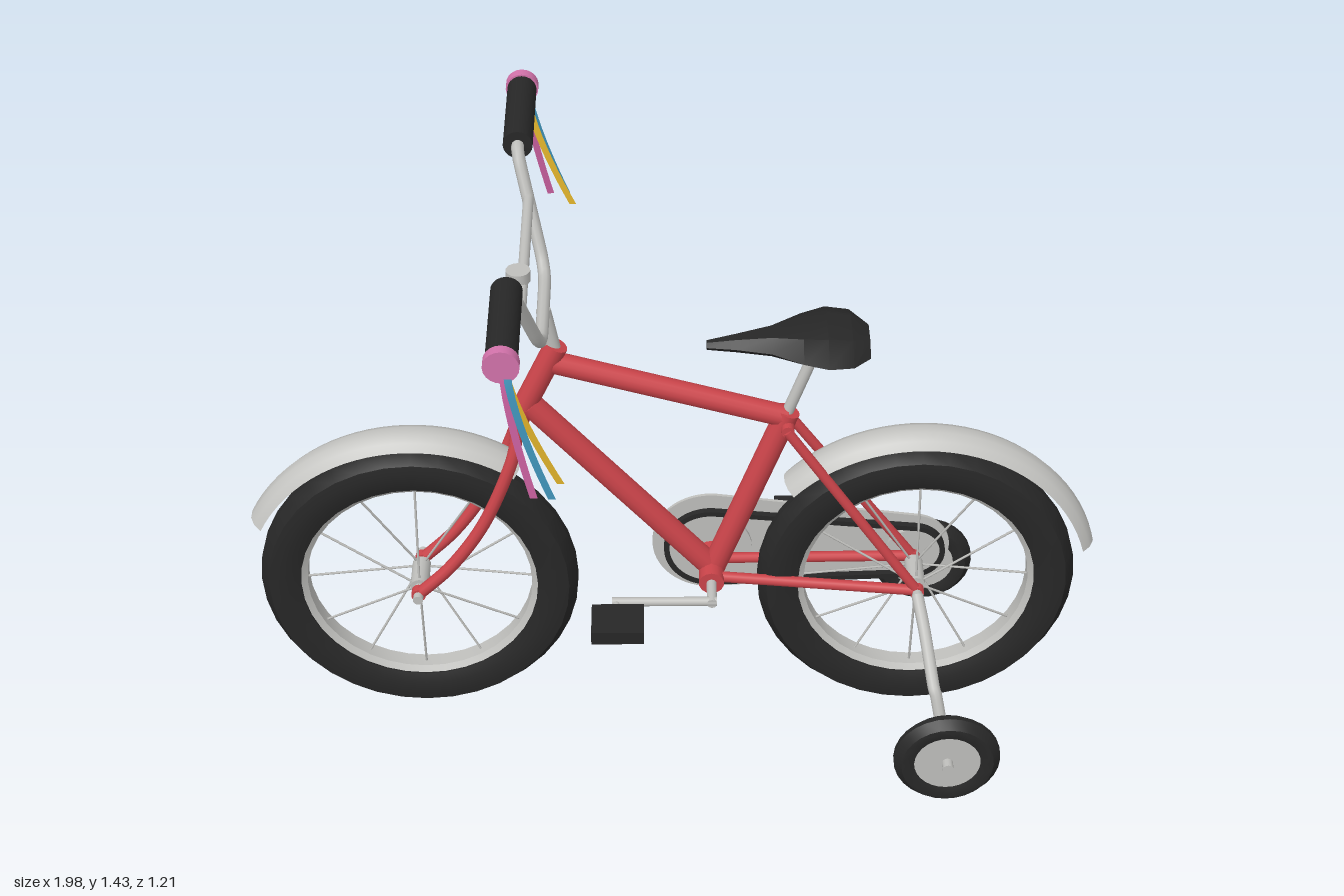
import * as THREE from 'three';
import { toCreasedNormals } from 'three/addons/utils/BufferGeometryUtils.js';

const mat = (name, color) => Object.assign(new THREE.MeshStandardMaterial({ color }), { name });
const V = (p) => new THREE.Vector3(...p);

export function createModel() {
  const red = mat('frame red', 0xcb444a);
  const black = mat('rubber black', 0x272727);
  const silver = mat('silver', 0xbfbfbc);
  const fenderSilver = mat('fender silver', 0xc4c4c1);
  fenderSilver.side = THREE.DoubleSide;
  const pink = mat('pink', 0xd373ab);
  const ribbonPink = mat('ribbon pink', 0xc9609f);
  const ribbonBlue = mat('ribbon blue', 0x3f93b8);
  const ribbonYellow = mat('ribbon yellow', 0xe3b52c);
  for (const m of [ribbonPink, ribbonBlue, ribbonYellow]) m.side = THREE.DoubleSide;

  const model = new THREE.Group();
  model.name = 'bicycle';
  const add = (name, geo, material, parent = model) => {
    const m = new THREE.Mesh(geo, material);
    m.name = name;
    parent.add(m);
    return m;
  };
  // Straight round bar between two points
  const bar = (name, a, b, r, material, parent, sides = 14) => {
    const p = V(a), d = V(b).sub(p);
    const m = add(name, new THREE.CylinderGeometry(r, r, d.length(), sides), material, parent);
    m.position.copy(p).addScaledVector(d, 0.5);
    m.quaternion.setFromUnitVectors(new THREE.Vector3(0, 1, 0), d.normalize());
    return m;
  };
  // Bent round tube through points
  const pipe = (name, pts, r, material, tension = 0.3) =>
    add(name, new THREE.TubeGeometry(new THREE.CatmullRomCurve3(pts.map(V), false, 'catmullrom', tension), 40, r, 10), material);
  // Ring turned around the z axis; profile is [radius, z], angles measured from +x
  const turned = (profile, segs, a0 = 0, a1 = Math.PI * 2) =>
    toCreasedNormals(new THREE.LatheGeometry(profile.map((p) => new THREE.Vector2(...p)), segs, a0 + Math.PI / 2, a1 - a0)
      .rotateX(Math.PI / 2), 0.6);

  // Wheels with rim, hub and crossed spokes
  const tyre = turned([[0.282, -0.034], [0.305, -0.043], [0.335, -0.045], [0.357, -0.041], [0.378, -0.01],
    [0.378, 0.01], [0.357, 0.041], [0.335, 0.045], [0.305, 0.043], [0.282, 0.034], [0.282, -0.034]], 36);
  const rim = turned([[0.268, -0.02], [0.288, -0.034], [0.288, 0.034], [0.268, 0.02], [0.268, -0.02]], 36);
  const AXLE_Y = 0.383, FRONT_X = -0.605, REAR_X = 0.578;
  for (const [name, x] of [['frontWheel', FRONT_X], ['rearWheel', REAR_X]]) {
    const wheel = new THREE.Group();
    wheel.name = name;
    wheel.position.set(x, AXLE_Y, 0);
    model.add(wheel);
    add('tyre', tyre, black, wheel);
    add('rim', rim, silver, wheel);
    bar('hub', [0, 0, -0.045], [0, 0, 0.045], 0.022, silver, wheel);
    bar('axle', [0, 0, -0.095], [0, 0, 0.095], 0.012, silver, wheel);
    for (let i = 0; i < 12; i++) {
      const a = (i / 12) * Math.PI * 2, c = Math.cos(a), s = Math.sin(a);
      bar('spoke', [c * 0.018, s * 0.018, i % 2 ? 0.035 : -0.035], [c * 0.275, s * 0.275, 0], 0.003, silver, wheel, 5);
    }
  }

  // Fenders
  const deg = Math.PI / 180;
  const fenderProfile = [[0.402, -0.05], [0.42, -0.036], [0.43, -0.014], [0.43, 0.014], [0.42, 0.036], [0.402, 0.05]];
  add('frontFender', turned(fenderProfile, 24, 54 * deg, 154 * deg), fenderSilver).position.set(FRONT_X, AXLE_Y, 0);
  add('rearFender', turned(fenderProfile, 28, 15 * deg, 138 * deg), fenderSilver).position.set(REAR_X, AXLE_Y, 0);

  // Frame
  const CRANK = [0.09, 0.405];
  bar('headTube', [-0.263, 1.05, 0], [-0.358, 0.845, 0], 0.027, red);
  bar('topTube', [-0.272, 1.003, 0], [0.258, 0.85, 0], 0.026, red);
  bar('downTube', [-0.33, 0.89, 0], [0.095, 0.405, 0], 0.029, red);
  bar('seatTube', [0.263, 0.865, 0], [0.095, 0.405, 0], 0.028, red);
  bar('bottomBracket', [...CRANK, -0.062], [...CRANK, 0.062], 0.03, red);
  bar('stayLug', [0.262, 0.835, -0.045], [0.262, 0.835, 0.045], 0.015, red);
  bar('forkCrown', [-0.357, 0.838, -0.052], [-0.357, 0.838, 0.052], 0.018, red);
  for (const s of [1, -1]) {
    bar('seatStay', [0.26, 0.835, s * 0.04], [REAR_X, 0.385, s * 0.066], 0.012, red);
    bar('chainStay', [0.1, 0.405, s * 0.035], [REAR_X, 0.385, s * 0.066], 0.013, red);
    bar('rearDropout', [REAR_X, AXLE_Y, s * 0.056], [REAR_X, AXLE_Y, s * 0.076], 0.017, red);
    pipe('forkLeg', [[-0.355, 0.845, s * 0.042], [-0.375, 0.755, s * 0.06], [-0.44, 0.595, s * 0.066],
      [-0.52, 0.47, s * 0.067], [FRONT_X, 0.38, s * 0.067]], 0.015, red, 0.5);
    bar('forkTip', [FRONT_X, AXLE_Y, s * 0.056], [FRONT_X, AXLE_Y, s * 0.078], 0.017, red);
  }

  // Seat post and saddle built from six-sided cross-sections [x, half width, top height]
  bar('seatPost', [0.25, 0.83, 0], [0.327, 1.05, 0], 0.0135, silver);
  const sections = [[0.075, 0.012, 1.058], [0.14, 0.028, 1.07], [0.22, 0.055, 1.084], [0.29, 0.103, 1.094],
    [0.345, 0.127, 1.1], [0.4, 0.118, 1.096], [0.44, 0.07, 1.08]];
  const pos = [], idx = [];
  sections.forEach(([x, w, top], i) => {
    const mid = 1.04 + (top - 1.04) * 0.45;
    pos.push(x, 1.04, -w * 0.6, x, mid, -w, x, top, -w * 0.45, x, top, w * 0.45, x, mid, w, x, 1.04, w * 0.6);
    for (let k = 0; i > 0 && k < 6; k++) {
      const a = (i - 1) * 6 + k, b = (i - 1) * 6 + ((k + 1) % 6);
      idx.push(a, b, a + 6, b, b + 6, a + 6);
    }
  });
  const last = (sections.length - 1) * 6;
  for (let k = 1; k < 5; k++) idx.push(0, k + 1, k, last, last + k, last + k + 1);
  const saddle = new THREE.BufferGeometry();
  saddle.setAttribute('position', new THREE.Float32BufferAttribute(pos, 3));
  saddle.setIndex(idx);
  add('saddle', toCreasedNormals(saddle, 0.5), black);

  // Handlebar, crossbar and bell
  bar('stem', [-0.268, 1.03, 0], [-0.29, 1.145, 0], 0.017, silver);
  const half = [[-0.35, 1.393, 0.33], [-0.35, 1.392, 0.29], [-0.345, 1.37, 0.262], [-0.3, 1.19, 0.172],
    [-0.292, 1.155, 0.14], [-0.29, 1.147, 0.1]];
  pipe('handlebar', [...half, ...half.map(([x, y, z]) => [x, y, -z]).reverse()], 0.0145, silver);
  bar('crossbar', [-0.326, 1.3, -0.222], [-0.326, 1.3, 0.222], 0.012, silver);
  bar('bell', [-0.335, 1.308, 0.128], [-0.335, 1.334, 0.128], 0.027, silver);

  // Grips with end caps and hanging ribbons
  const ribbons = [['yellow', ribbonYellow, 0.105, 0.553, 0], ['blue', ribbonBlue, 0.085, 0.607, 0.004],
    ['pink', ribbonPink, 0.055, 0.603, -0.004]];
  for (const s of [1, -1]) {
    bar('grip', [-0.35, 1.393, s * 0.298], [-0.35, 1.393, s * 0.555], 0.034, black, model, 20);
    bar('gripCap', [-0.35, 1.393, s * 0.555], [-0.35, 1.393, s * 0.58], 0.038, pink, model, 20);
    for (const [name, material, reach, endZ, shift] of ribbons) {
      const strip = new THREE.PlaneGeometry(0.016, 1, 1, 10), p = strip.attributes.position;
      for (let i = 0; i < p.count; i++) {
        const t = 0.5 - p.getY(i);
        p.setXYZ(i, -0.343 + shift + reach * Math.pow(t, 1.4) + p.getX(i), 1.385 - 0.305 * t,
          s * (0.573 + (endZ - 0.573) * Math.sqrt(t)));
      }
      strip.computeVertexNormals();
      add(name + 'Ribbon', strip, material);
    }
  }

  // Chain drive: outline around two wheels of different radius
  const loop = (r1, r2, Shape = THREE.Shape) => {
    const a = Math.acos((r1 - r2) / (REAR_X - CRANK[0]));
    const shape = new Shape();
    shape.absarc(CRANK[0], CRANK[1], r1, a, Math.PI * 2 - a);
    shape.absarc(REAR_X, 0.392, r2, -a, a);
    shape.closePath();
    return shape;
  };
  const slab = (shape, depth) => new THREE.ExtrudeGeometry(shape, { depth, bevelEnabled: false, curveSegments: 24 });
  add('chainGuard', slab(loop(0.14, 0.09), 0.008), silver).position.z = -0.106;
  const chain = loop(0.112, 0.078);
  chain.holes.push(loop(0.099, 0.065, THREE.Path));
  add('chain', slab(chain, 0.016), black).position.z = -0.085;
  bar('chainring', [...CRANK, -0.082], [...CRANK, -0.072], 0.1, silver, model, 32);
  bar('sprocket', [REAR_X, 0.392, -0.082], [REAR_X, 0.392, -0.072], 0.066, silver, model, 24);

  // Cranks and pedals
  bar('crankAxle', [...CRANK, -0.138], [...CRANK, 0.138], 0.012, silver);
  for (const s of [1, -1]) {
    const x = CRANK[0] - s * 0.225, y = CRANK[1];
    bar('crankArm', [CRANK[0] + s * 0.012, y, s * 0.128], [x - s * 0.01, y, s * 0.128], 0.011, silver);
    bar('pedalAxle', [x, y, s * 0.12], [x, y, s * 0.17], 0.008, silver);
    add('pedal', new THREE.BoxGeometry(0.122, 0.034, 0.104), black).position.set(x + s * 0.004, y - 0.002, s * 0.207);
  }

  // Training wheels on bent arms
  const smallTyre = turned([[0.078, -0.022], [0.1, -0.029], [0.108, -0.027], [0.125, -0.006], [0.125, 0.006],
    [0.108, 0.027], [0.1, 0.029], [0.078, 0.022], [0.078, -0.022]], 28);
  for (const s of [1, -1]) {
    pipe('trainingArm', [[REAR_X, 0.385, s * 0.085], [0.592, 0.335, s * 0.16], [0.608, 0.262, s * 0.27],
      [0.614, 0.245, s * 0.287], [0.637, 0.13, s * 0.33]], 0.0145, silver);
    add('trainingTyre', smallTyre, black).position.set(0.638, 0.13, s * 0.371);
    bar('trainingHub', [0.638, 0.13, s * 0.352], [0.638, 0.13, s * 0.39], 0.08, silver, model, 28);
    bar('trainingAxle', [0.638, 0.13, s * 0.325], [0.638, 0.13, s * 0.414], 0.013, silver);
  }
  return model;
}
